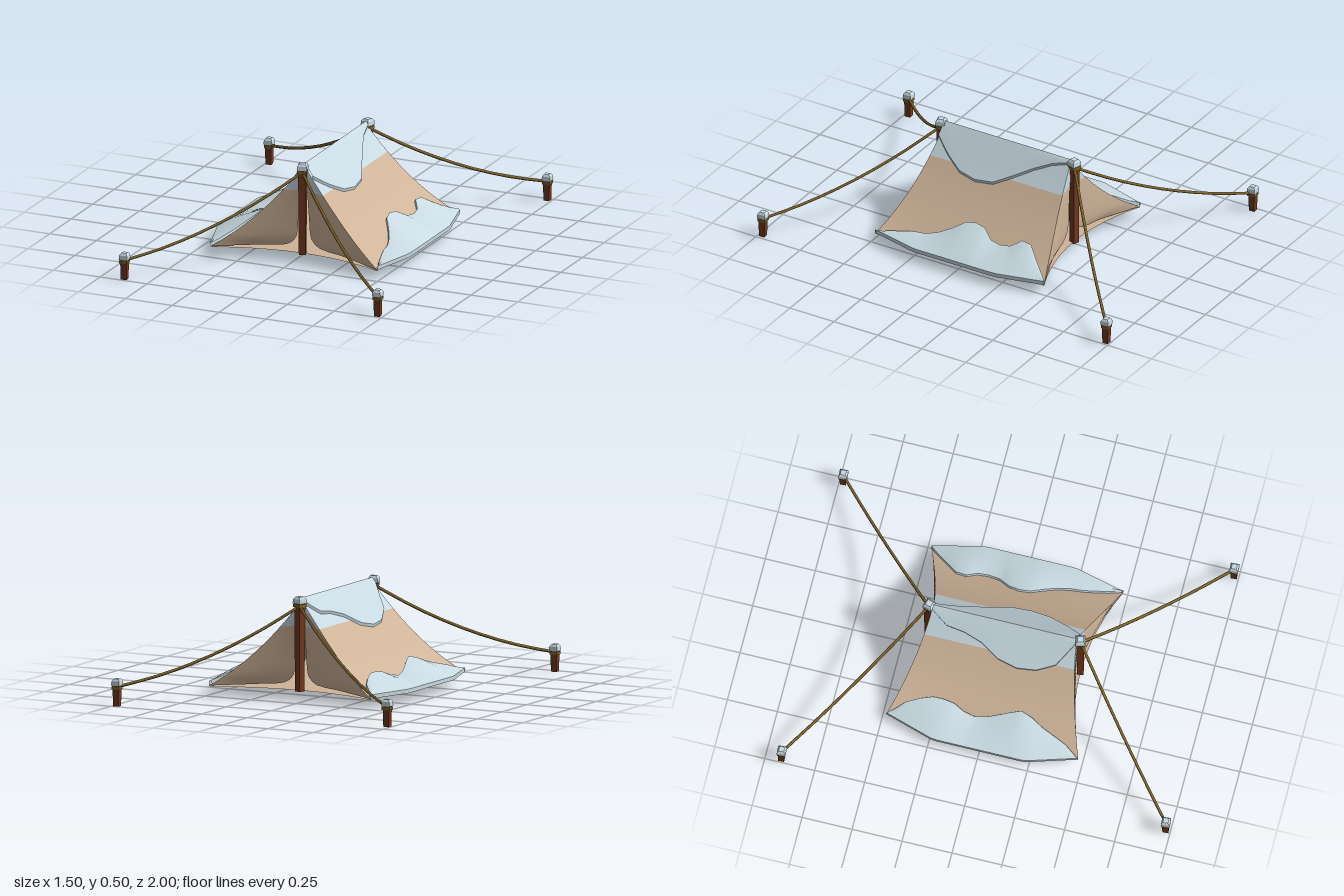
import * as THREE from 'three';
import { toCreasedNormals } from 'three/addons/utils/BufferGeometryUtils.js';

const mat = (name, color, extra = {}) => Object.assign(new THREE.MeshStandardMaterial({ color, ...extra }), { name });
const RIDGE_X = 0.045;

// Point on the roof: side -1/1, u from ridge to hem, v from back to front
function roof(side, u, v) {
  return new THREE.Vector3(
    RIDGE_X + side * (0.445 * u - 0.04 * u ** 6 * (1 - v * v)),
    0.485 - 0.435 * u - 0.16 * u * (1 - u),
    v * (0.36 + 0.12 * u ** 1.4)
  );
}

// Surface from a function of two grid indices
function grid(rows, cols, fn, crease = 0) {
  const pos = [], idx = [];
  for (let i = 0; i <= rows; i++) for (let j = 0; j <= cols; j++) pos.push(...fn(i, j).toArray());
  for (let i = 0; i < rows; i++) for (let j = 0; j < cols; j++) {
    const a = i * (cols + 1) + j, b = a + 1, c = a + cols + 1, d = c + 1;
    idx.push(a, c, b, b, c, d);
  }
  const g = new THREE.BufferGeometry();
  g.setAttribute('position', new THREE.Float32BufferAttribute(pos, 3));
  g.setIndex(idx);
  g.computeVertexNormals();
  return crease ? toCreasedNormals(g, crease) : g;
}

// Linear lookup in evenly spaced values, t in 0..1
function sample(list, t) {
  const f = t * (list.length - 1), i = Math.min(Math.floor(f), list.length - 2);
  return list[i] + (list[i + 1] - list[i]) * (f - i);
}

export function createModel() {
  const group = new THREE.Group();
  const canvas = mat('tan canvas', 0xcfb499, { side: THREE.DoubleSide });
  const snow = mat('pale blue snow', 0xc8dae2, { side: THREE.DoubleSide });
  const wood = mat('red brown wood', 0x71391f);
  const rope = mat('ochre rope', 0x80652c);
  const add = (name, geo, material, parent = group) => {
    const m = new THREE.Mesh(geo, material);
    m.name = name;
    parent.add(m);
    return m;
  };

  // Roof panels, frosted along the upper band
  for (const s of [-1, 1]) {
    const panel = (u0, u1, n) => grid(n, 16, (i, j) => roof(s, u0 + (u1 - u0) * i / n, j / 8 - 1));
    add('roofFrost', panel(0, 0.24, 3), snow);
    add('roofPanel', panel(0.24, 1, 9), canvas);
  }

  // Door flaps, swept back from the poles to the hem corners
  const inner = new THREE.CatmullRomCurve3([
    [0, 0.475], [0.01, 0.42], [0.018, 0.355], [0.024, 0.28], [0.03, 0.2],
    [0.04, 0.12], [0.08, 0.08], [0.22, 0.063], [0.445, 0.05],
  ].map(([x, y]) => new THREE.Vector3(x, y, 0.365 + 0.115 * (x / 0.445) ** 2)));
  for (const s of [-1, 1]) for (const end of [-1, 1]) {
    const flap = (t0, t1, n) => grid(n, 4, (i, j) => {
      const t = t0 + (t1 - t0) * i / n, p = inner.getPoint(t);
      p.set(RIDGE_X + s * p.x, p.y, end * p.z);
      return roof(s, t, end).lerp(p, j / 4);
    });
    add('flapFrost', flap(0, 0.24, 4), snow);
    add('doorFlap', flap(0.24, 1, 16), canvas);
  }

  // Floor sheet with edges drawn inward between the corners
  add('floor', grid(12, 12, (i, j) => {
    const w = i / 6 - 1, v = j / 6 - 1;
    return new THREE.Vector3(RIDGE_X + w * (0.445 - 0.04 * (1 - v * v)), 0.045, v * (0.38 + 0.1 * w * w));
  }), canvas);

  // Snow draped over the ridge
  const drape = {
    '-1': [0.03, 0.13, 0.15, 0.2, 0.3, 0.34, 0.32, 0.24, 0.03],
    1: [0.02, 0.06, 0.13, 0.22, 0.31, 0.33, 0.3, 0.21, 0.1],
  };
  const across = [-1, -0.99, -0.66, -0.33, 0, 0.33, 0.66, 0.99, 1];
  add('ridgeSnow', grid(16, 8, (i, j) => {
    const w = across[j], s = w < 0 ? -1 : 1;
    const p = roof(s, Math.abs(w) * sample(drape[s], i / 16), i / 8 - 1);
    if (Math.abs(w) < 1) p.add(new THREE.Vector3(s * 0.004 * Math.sign(Math.abs(w)), 0.013, 0));
    return p;
  }, 0.7), snow);

  // Snow banks along both hems
  const bank = {
    '-1': [1, 0.85, 0.79, 0.75, 0.75, 0.77, 0.83, 0.86, 0.83, 0.78, 0.73, 0.69, 0.73, 0.8, 0.85, 0.9, 1],
    1: [0.97, 0.83, 0.69, 0.68, 0.76, 0.78, 0.76, 0.67, 0.65, 0.67, 0.76, 0.84, 0.89, 0.9, 0.93, 0.96, 1],
  };
  for (const s of [-1, 1]) {
    add('hemSnow', grid(32, 5, (i, j) => {
      const v = i / 16 - 1, start = roof(s, sample(bank[s], i / 32), v);
      const reach = 0.445 + (s > 0 ? 0.06 : 0.077) * Math.min(1, (1 - Math.abs(v)) / 0.52);
      const lip = new THREE.Vector3(RIDGE_X + s * reach, 0.07, v * 0.48);
      const raised = start.clone().add(new THREE.Vector3(s * 0.005, 0.012, 0));
      const mid = raised.clone().lerp(lip, 0.5);
      mid.y += 0.004;
      const under = lip.clone().setY(0.05);
      return [start, raised, mid, lip, under, roof(s, 1, v).setY(0.047)][j];
    }, 0.6), snow);
  }

  // Square post with a snow cap and a rope binding
  function post(name, x, z, y0, y1, r, turn) {
    const g = new THREE.Group();
    g.name = name;
    g.position.set(x, 0, z);
    g.rotation.y = turn;
    const block = (part, rTop, rBottom, low, high, m) => {
      const geo = new THREE.CylinderGeometry(rTop * 1.414, rBottom * 1.414, high - low, 4).toNonIndexed();
      geo.rotateY(Math.PI / 4);
      geo.computeVertexNormals();
      add(part, geo, m, g).position.y = (low + high) / 2;
    };
    block('shaft', r, r * 0.85, y0, y1, wood);
    block('binding', r * 1.2, r * 1.2, y1 - 0.018, y1 - 0.004, rope);
    block('snowCap', r * 1.2, r * 1.3, y1, y1 + 0.022, snow);
    block('snowCapTop', r * 0.75, r * 1.2, y1 + 0.022, y1 + 0.033, snow);
    group.add(g);
  }
  post('frontPole', RIDGE_X, 0.378, 0.04, 0.472, 0.019, 0.25);
  post('backPole', RIDGE_X, -0.378, 0.04, 0.472, 0.019, -0.3);

  // Stakes and sagging guy ropes
  for (const [x, z] of [[-0.63, 0.977], [0.722, 0.977], [-0.73, -0.92], [0.727, -0.98]]) {
    post('stake', x, z, 0, 0.102, 0.017, 0.05);
    const a = new THREE.Vector3(RIDGE_X, 0.458, Math.sign(z) * 0.38), b = new THREE.Vector3(x, 0.095, z);
    const pts = [0, 0.2, 0.4, 0.6, 0.8, 1].map((t) => {
      const p = a.clone().lerp(b, t);
      p.y -= 0.2 * t * (1 - t);
      return p;
    });
    add('guyRope', new THREE.TubeGeometry(new THREE.CatmullRomCurve3(pts), 10, 0.0075, 6), rope);
  }
  return group;
}
